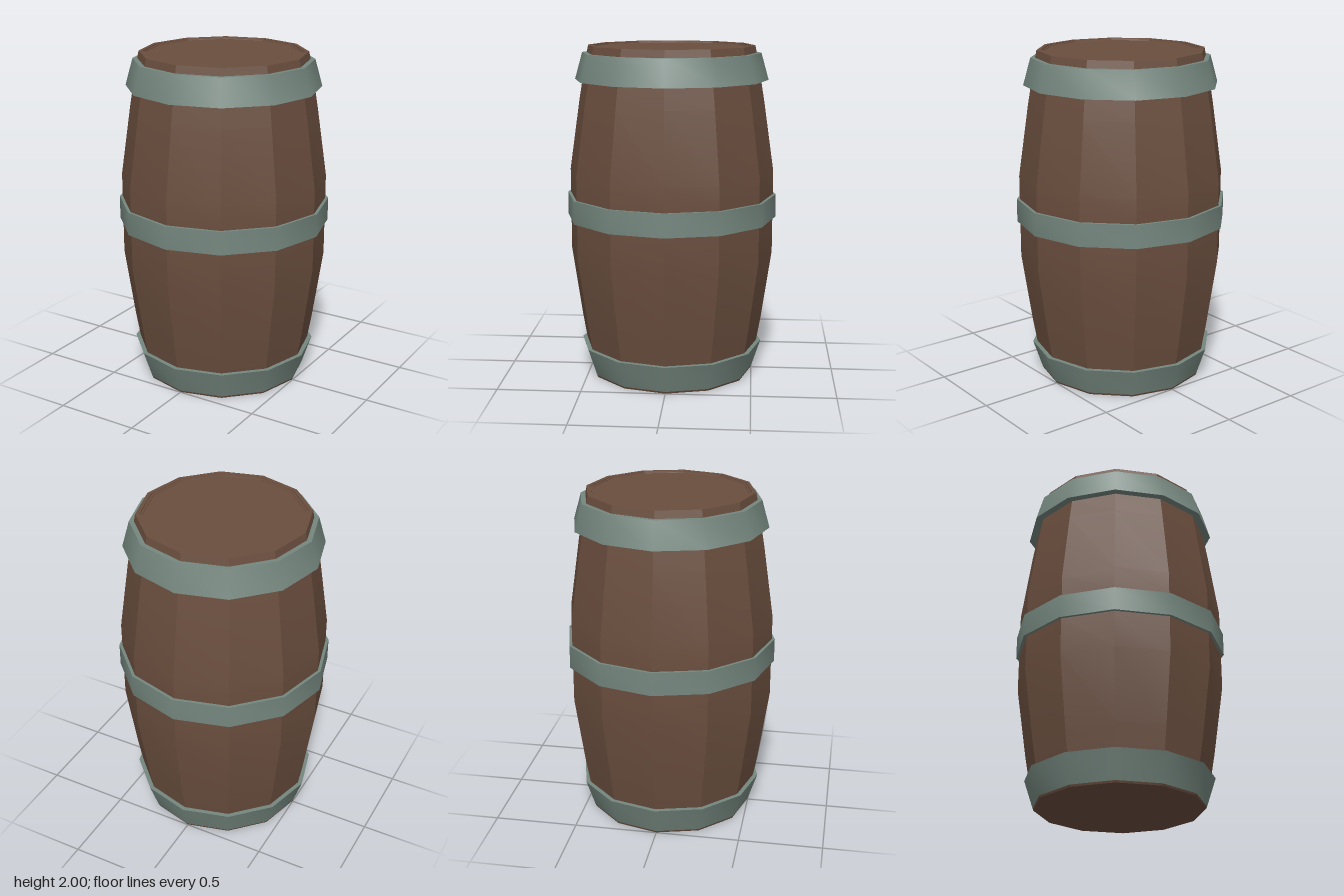
import * as THREE from 'three';
import { toCreasedNormals } from 'three/addons/utils/BufferGeometryUtils.js';

const SIDES = 12;
const STAVE_CREASE = 0.35; // sharp between staves, smooth along them
const HOOP_CREASE = 0.6;   // smooth around the band, sharp at its rims

// Spin a list of [radius, height] points around the vertical axis.
function turned(name, profile, material, crease) {
  const points = profile.map(([r, y]) => new THREE.Vector2(r, y));
  const lathe = new THREE.LatheGeometry(points, SIDES);
  const mesh = new THREE.Mesh(toCreasedNormals(lathe, crease), material);
  mesh.name = name;
  return mesh;
}

// Solid iron band, closed all round its four-sided section.
function hoop(name, bottom, top, material) {
  const profile = [
    [top.inner, top.y], [bottom.inner, bottom.y],
    [bottom.outer, bottom.y], [top.outer, top.y], [top.inner, top.y],
  ];
  return turned(name, profile, material, HOOP_CREASE);
}

export function createModel() {
  const wood = new THREE.MeshStandardMaterial({ color: 0x6a4e3e });
  wood.name = 'brown wood';
  const iron = new THREE.MeshStandardMaterial({ color: 0x75877f });
  iron.name = 'grey iron';

  const barrel = new THREE.Group();
  barrel.name = 'barrel';

  // Base disc with its narrow edge
  barrel.add(turned('base', [[0, 0], [0.497, 0], [0.502, 0.012]], wood, STAVE_CREASE));

  // Bulging staves between the hoops
  barrel.add(turned('lowerStaves',
    [[0.53, 0.18], [0.556, 0.33], [0.617, 0.75], [0.617, 0.967]], wood, STAVE_CREASE));
  barrel.add(turned('upperStaves',
    [[0.617, 1.107], [0.617, 1.25], [0.556, 1.67], [0.535, 1.796]], wood, STAVE_CREASE));

  // Rim and slightly sunken lid
  barrel.add(turned('lid', [
    [0.507, 1.956], [0.498, 2], [0.474, 2], [0.473, 1.994], [0.46, 1.994], [0.459, 1.99], [0, 1.99],
  ], wood, STAVE_CREASE));

  // Three iron hoops
  barrel.add(hoop('bottomHoop',
    { y: 0.012, inner: 0.49, outer: 0.502 }, { y: 0.18, inner: 0.478, outer: 0.557 }, iron));
  barrel.add(hoop('middleHoop',
    { y: 0.967, inner: 0.592, outer: 0.635 }, { y: 1.107, inner: 0.56, outer: 0.635 }, iron));
  barrel.add(hoop('topHoop',
    { y: 1.796, inner: 0.528, outer: 0.58 }, { y: 1.956, inner: 0.475, outer: 0.535 }, iron));

  return barrel;
}
